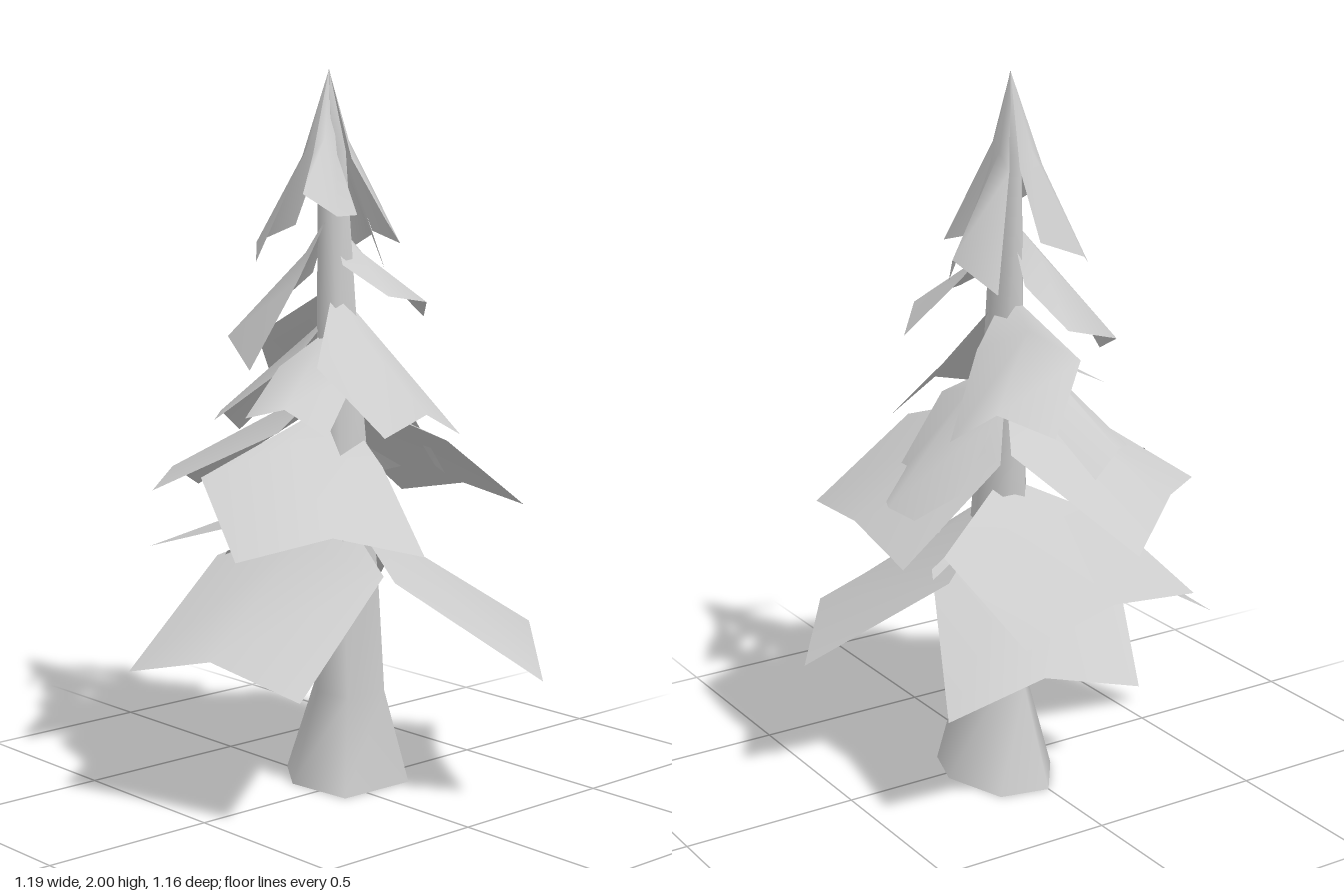
import * as THREE from 'three';

const bark = new THREE.MeshStandardMaterial({ color: 0xcccccc, side: THREE.DoubleSide });
bark.name = 'paleGrey';

// trunk rings: height, centre x, centre z, scale of the foot outline
const RINGS = [
  [0, 0.05, -0.065, 1], [0.27, 0.037, -0.03, 0.57], [0.6, 0.028, -0.033, 0.52],
  [1.2, 0.028, -0.06, 0.34], [1.78, 0.036, -0.09, 0.22], [2, 0.036, -0.095, 0.006],
];
// uneven six-sided foot outline (x, z)
const FOOT = [[-0.13, 0.165], [0.107, 0.171], [0.15, 0.035], [0.09, -0.145], [-0.05, -0.175], [-0.15, -0.035]];

function meshFrom(points, index, name) {
  const g = new THREE.BufferGeometry();
  g.setAttribute('position', new THREE.Float32BufferAttribute(points.flat(), 3));
  g.setIndex(index);
  g.computeVertexNormals();
  const m = new THREE.Mesh(g, bark);
  m.name = name;
  return m;
}

// centre line of the trunk at a given height
function trunkAt(y) {
  let i = 0;
  while (i < RINGS.length - 2 && y > RINGS[i + 1][0]) i++;
  const a = RINGS[i], b = RINGS[i + 1], t = (y - a[0]) / (b[0] - a[0]);
  return [a[1] + (b[1] - a[1]) * t, a[2] + (b[2] - a[2]) * t];
}

function makeTrunk() {
  const n = FOOT.length, points = [], index = [];
  RINGS.forEach(([y, cx, cz, s], k) => {
    FOOT.forEach(([x, z], i) => {
      points.push([cx + x * s, y, cz + z * s]);
      if (k) {
        const j = (i + 1) % n, lo = (k - 1) * n, hi = k * n;
        index.push(lo + i, lo + j, hi + j, lo + i, hi + j, hi + i);
      }
    });
  });
  return meshFrom(points, index, 'trunk');
}

// drooping bough: pointed at the trunk, wide at the shoulders, folded along a ridge
// a, b: outer corners; lift, bulge: how far the rim centre sits above and beyond them;
// reach: shoulder distance from the trunk; pinch: how much the shoulders narrow
function makeBough([a, b, lift, apexY, shoulderY, reach, bulge = 0.01, pinch = 0], name) {
  const [tx, tz] = trunkAt(apexY);
  let dx = b[2] - a[2], dz = a[0] - b[0];
  const len = Math.hypot(dx, dz);
  dx /= len; dz /= len;
  if ((a[0] - tx) * dx + (a[2] - tz) * dz < 0) { dx = -dx; dz = -dz; [a, b] = [b, a]; }
  const shoulder = (p) => {
    const back = (p[0] - tx) * dx + (p[2] - tz) * dz - reach;
    const x = p[0] - dx * back, z = p[2] - dz * back;
    return [x + (tx + dx * reach - x) * pinch, shoulderY, z + (tz + dz * reach - z) * pinch];
  };
  const middle = (p, q, up, out) => [
    (p[0] + q[0]) / 2 + dx * out, (p[1] + q[1]) / 2 + up, (p[2] + q[2]) / 2 + dz * out];
  const sa = shoulder(a), sb = shoulder(b);
  const ridge = middle(sa, sb, (apexY - shoulderY) * 0.45 * (1 - pinch), 0);
  const rim = middle(a, b, lift, bulge);
  const points = [[tx, apexY, tz], sa, ridge, sb, a, rim, b];
  const index = [0, 1, 2, 0, 2, 3, 1, 4, 5, 1, 5, 2, 2, 5, 6, 2, 6, 3];
  // turn the faces upward
  const up = (sa[2] - tz) * (ridge[0] - tx) - (sa[0] - tx) * (ridge[2] - tz);
  if (up < 0) for (let i = 0; i < index.length; i += 3) [index[i], index[i + 1]] = [index[i + 1], index[i]];
  return meshFrom(points, index, name);
}

// tiers from the ground up: corner a, corner b, lift, apex height, shoulder height, reach, bulge, pinch
const TIERS = {
  lowestBough: [
    [[0.20, 0.38, 0.58], [0.595, 0.40, 0.075], 0.08, 0.82, 0.655, 0.12],
    [[-0.595, 0.395, -0.20], [-0.44, 0.385, 0.325], 0.07, 0.79, 0.64, 0.13],
    [[0.405, 0.355, -0.37], [-0.06, 0.425, -0.575], 0.08, 0.80, 0.66, 0.12],
  ],
  lowBough: [
    [[-0.255, 0.64, -0.55], [0.30, 0.61, -0.58], 0.05, 0.88, 0.75, 0.15],
    [[-0.52, 0.74, 0.165], [-0.04, 0.72, 0.37], 0.06, 1.09, 0.91, 0.09],
    [[0.44, 0.79, 0.275], [0.47, 0.76, -0.255], 0.04, 1.11, 1.0, 0.14],
    [[-0.44, 0.86, -0.29], [-0.05, 0.795, -0.58], 0.06, 1.16, 1.03, 0.11],
    [[0.355, 0.86, 0.045], [0.345, 0.83, -0.23], 0.03, 1.21, 1.12, 0.13, 0.07],
  ],
  middleBough: [
    [[-0.13, 1.04, 0.31], [0.21, 1.01, 0.25], 0.06, 1.41, 1.21, 0.12],
    [[-0.34, 1.08, -0.01], [-0.23, 1.04, 0.195], 0.05, 1.30, 1.19, 0.10],
    [[-0.165, 1.02, -0.36], [-0.01, 0.97, -0.435], 0.04, 1.34, 1.20, 0.10, 0.02],
    [[0.11, 1.10, -0.425], [0.285, 1.06, -0.19], 0.08, 1.41, 1.26, 0.08, 0.04],
  ],
  highBough: [
    [[0.31, 1.31, 0], [0.06, 1.39, 0.12], 0.015, 1.60, 1.47, 0.05, 0.06, 0.3],
    [[-0.29, 1.20, -0.05], [-0.04, 1.33, -0.26], 0.01, 1.62, 1.44, 0.06, 0.09, 0.2],
  ],
  crownBough: [
    [[-0.16, 1.67, 0.02], [0, 1.61, 0.06], -0.03, 2.0, 1.77, 0.045, 0.04, 0.55],
    [[0.03, 1.60, 0.14], [0.12, 1.56, -0.01], -0.05, 2.0, 1.76, 0.045, 0.06, 0.55],
    [[0.18, 1.455, -0.26], [0.195, 1.45, -0.04], 0.085, 2.0, 1.75, 0.05, 0.065, 0.6],
    [[-0.165, 1.48, -0.17], [0.03, 1.57, -0.23], 0, 2.0, 1.75, 0.045, 0.065, 0.55],
  ],
};

export function createModel() {
  const tree = new THREE.Group();
  tree.name = 'pineTree';
  tree.add(makeTrunk());
  for (const [name, boughs] of Object.entries(TIERS)) {
    boughs.forEach((bough, i) => tree.add(makeBough(bough, name + (i + 1))));
  }
  return tree;
}
